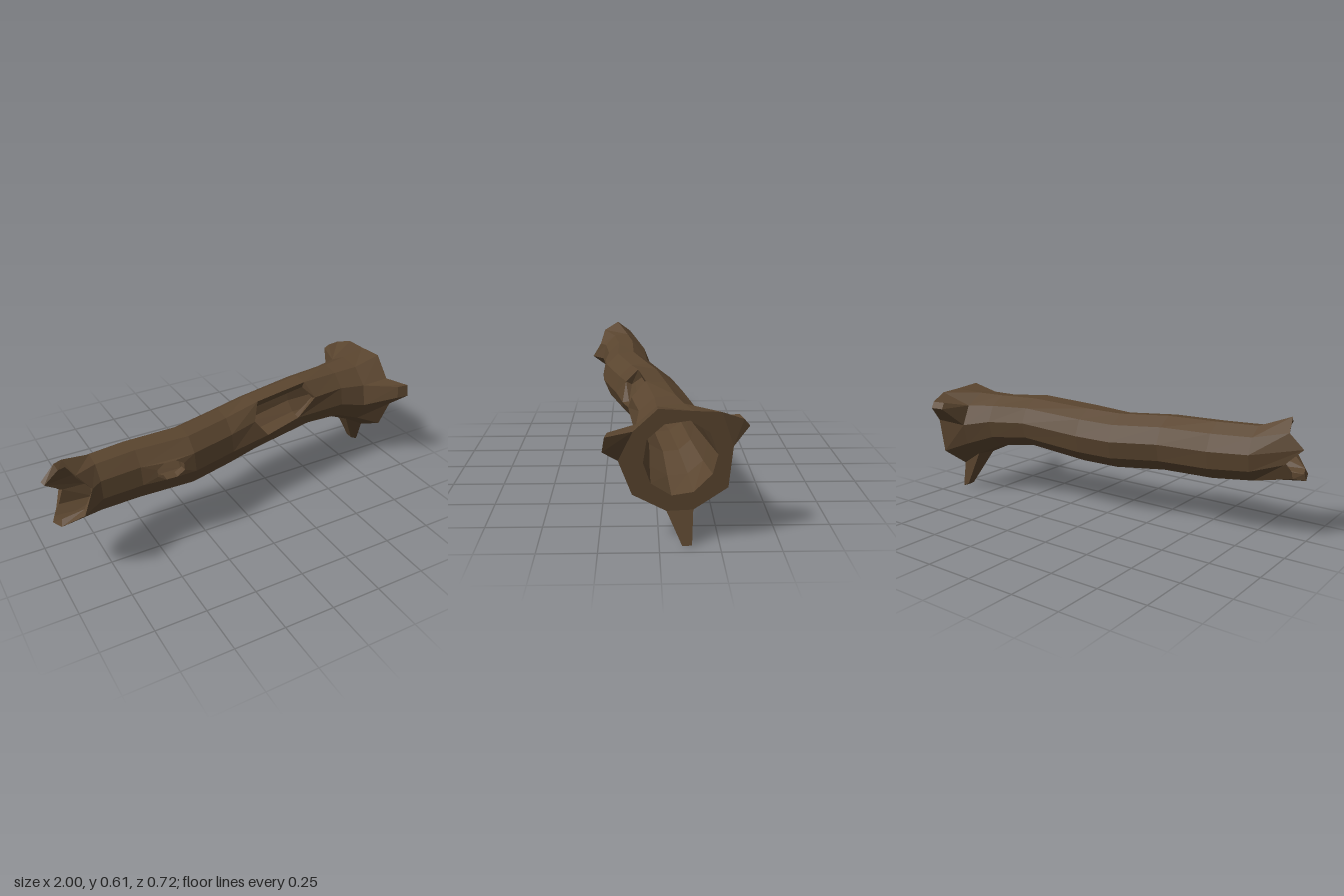
import * as THREE from 'three';

const N = 10; // sides of the log
const V = (x, y, z) => new THREE.Vector3(x, y, z);
const bark = new THREE.MeshStandardMaterial({ color: 0x5a452f, flatShading: true, roughness: 1 });

// Collects triangles and turns them into a flat shaded mesh
function makeBuilder() {
  const pos = [];
  const tri = (a, b, c) => [a, b, c].forEach(p => pos.push(p.x, p.y, p.z));
  const quad = (a, b, c, d) => { tri(a, b, c); tri(a, c, d); };
  const mesh = name => {
    const g = new THREE.BufferGeometry();
    g.setAttribute('position', new THREE.Float32BufferAttribute(pos, 3));
    g.computeVertexNormals();
    const m = new THREE.Mesh(g, bark);
    m.name = name;
    return m;
  };
  return { tri, quad, mesh };
}

// Body sections: x, yMin, yMax, zMin, zMax
const sections = [
  [-0.77, 0.285, 0.56, 0.05, 0.29],
  [-0.57, 0.268, 0.557, 0.015, 0.265],
  [-0.3, 0.263, 0.55, 0.0, 0.268],
  [-0.06, 0.253, 0.542, -0.075, 0.195],
  [0.12, 0.265, 0.552, -0.112, 0.152],
  [0.45, 0.305, 0.57, -0.152, 0.122],
  [0.66, 0.275, 0.567, -0.19, 0.097],
  [0.8, 0.21, 0.57, -0.245, 0.112],
];

// Broken end: one jagged point per side
const jagged = [
  [-0.82, 0.49, 0.31], [-0.88, 0.565, 0.285], [-0.91, 0.61, 0.205], [-0.93, 0.55, 0.13],
  [-1, 0.48, 0.14], [-0.92, 0.4, 0.115], [-0.95, 0.33, 0.15], [-0.99, 0.31, 0.22],
  [-0.97, 0.325, 0.29], [-0.88, 0.4, 0.36],
].map(p => V(...p));

// Root end: outer rim and mouth as z, y
const rimX = y => 0.92 + 0.08 * (y - 0.2);
const toRim = ([z, y]) => V(rimX(y), y, z);
const rim = [[0.105, 0.495], [0.005, 0.59], [-0.135, 0.58], [-0.245, 0.575], [-0.295, 0.43],
  [-0.28, 0.25], [-0.14, 0.15], [-0.03, 0.145], [0.11, 0.22], [0.165, 0.37]].map(toRim);
const mouth = [[0.05, 0.46], [-0.02, 0.525], [-0.12, 0.54], [-0.2, 0.49], [-0.235, 0.395],
  [-0.215, 0.31], [-0.14, 0.23], [-0.05, 0.215], [0.035, 0.27], [0.065, 0.36]].map(toRim);

function ring([x, y0, y1, z0, z1], scale) {
  const ry = (y1 - y0) / 2, rz = (z1 - z0) / 2;
  return Array.from({ length: N }, (_, k) => {
    const a = (30 + 36 * k) * Math.PI / 180;
    return V(x, (y0 + y1) / 2 + ry * scale * Math.sin(a) * 1.01, (z0 + z1) / 2 + rz * scale * Math.cos(a) * 1.02);
  });
}

// Roots: first side of the strip, two tip points, thickness offset
const roots = [
  { k: 3, tips: [V(0.93, 0.54, -0.335), V(0.92, 0.51, -0.36)], back: V(-0.07, 0, 0.01) },
  { k: 6, tips: [V(0.945, 0.003, -0.135), V(0.945, 0, -0.095)], back: V(-0.04, 0.02, 0) },
  { k: 9, tips: [V(1, 0.43, 0.225), V(1, 0.49, 0.215)], back: V(-0.06, 0, -0.008) },
];

export function createModel() {
  const group = new THREE.Group();
  group.name = 'hollowLog';

  const endCentre = V(-0.92, 0.44, 0.215);
  const outer = [jagged, ...sections.map(s => ring(s, 1)), rim];
  const inner = [
    jagged.map(p => { const q = p.clone().lerp(endCentre, 0.24); q.x = p.x + 0.01; return q; }),
    ...sections.map((s, i) => ring(s, i > 5 ? 0.76 : 0.8)), mouth,
  ];

  // Shape the outline of the long opening
  const openA = 5, openB = 6;
  for (const [i, k, dx] of [[openA, 9, 0.04], [openA, 0, -0.03], [openA, 1, 0.02],
    [openB, 9, -0.09], [openB, 0, 0.02], [openB, 1, -0.01]]) {
    outer[i][k].x += dx;
    inner[i][k].x += dx;
    outer[i][k].z += 0.006;
    outer[i][k].y += k === 1 ? 0.012 : 0;
  }
  const isOpening = (i, k) => i === openA && (k === 9 || k === 0);
  const isKnot = (i, k) => i === 2 && k === 9;
  const rootAt = k => roots.find(r => r.k === k);

  const shell = makeBuilder(), hollow = makeBuilder(), edges = makeBuilder(), rootB = makeBuilder();
  const last = outer.length - 2;

  // Outer bark and inner hollow
  for (let i = 0; i <= last; i++) {
    for (let k = 0; k < N; k++) {
      const n = (k + 1) % N;
      if (isOpening(i, k) || isKnot(i, k)) continue;
      if (!(i === last && rootAt(k))) shell.quad(outer[i][k], outer[i + 1][k], outer[i + 1][n], outer[i][n]);
      hollow.quad(inner[i][k], inner[i][n], inner[i + 1][n], inner[i + 1][k]);
    }
  }

  // End faces between bark and hollow
  for (let k = 0; k < N; k++) {
    const n = (k + 1) % N;
    edges.quad(outer[0][k], outer[0][n], inner[0][n], inner[0][k]);
    edges.quad(rim[k], mouth[k], mouth[n], rim[n]);
  }

  // Walls of the long opening
  const path = [[openA, 9], [openB, 9], [openB, 0], [openB, 1], [openA, 1], [openA, 0]];
  path.forEach(([i, k], j) => {
    const [i2, k2] = path[(j + 1) % path.length];
    edges.quad(outer[i][k], outer[i2][k2], inner[i2][k2], inner[i][k]);
  });

  // Round knot hole cut into one panel
  const panel = rings => [rings[2][9], rings[3][9], rings[3][0], rings[2][0]];
  const octagon = (c, bump) => Array.from({ length: 8 }, (_, j) => {
    const a = (j + 0.5) * Math.PI / 4 + Math.PI;
    const u = 0.52 + 0.27 * Math.cos(a), v = 0.5 + 0.5 * Math.sin(a);
    const p = c[0].clone().lerp(c[1], u).lerp(c[3].clone().lerp(c[2], u), v);
    p.z += bump;
    return p;
  });
  const fillAround = (c, o, tri) => {
    for (let q = 0; q < 4; q++) {
      const a = o[q * 2], b = o[q * 2 + 1], next = o[(q * 2 + 2) % 8];
      tri(c[q], b, a);
      tri(c[q], c[(q + 1) % 4], b);
      tri(c[(q + 1) % 4], next, b);
    }
  };
  const co = panel(outer), ci = panel(inner);
  const oo = octagon(co, 0.01), oi = octagon(ci, 0);
  fillAround(co, oo, shell.tri);
  fillAround(ci, oi, (a, b, c) => hollow.tri(a, c, b));
  oo.forEach((p, j) => edges.quad(p, oo[(j + 1) % 8], oi[(j + 1) % 8], oi[j]));

  // Broken roots pulled out of the flared end
  for (const { k, tips: [t0, t1], back } of roots) {
    const n = (k + 1) % N;
    const b0 = t0.clone().add(back), b1 = t1.clone().add(back);
    const p0 = outer[last][k], p1 = outer[last][n];
    rootB.quad(p0, b0, b1, p1);
    rootB.quad(b0, t0, t1, b1);
    rootB.quad(t0, rim[k], rim[n], t1);
    rootB.quad(p0, rim[k], t0, b0);
    rootB.quad(p1, b1, t1, rim[n]);
  }

  group.add(shell.mesh('bark'), hollow.mesh('hollowInside'), edges.mesh('cutEdges'), rootB.mesh('roots'));
  return group;
}
